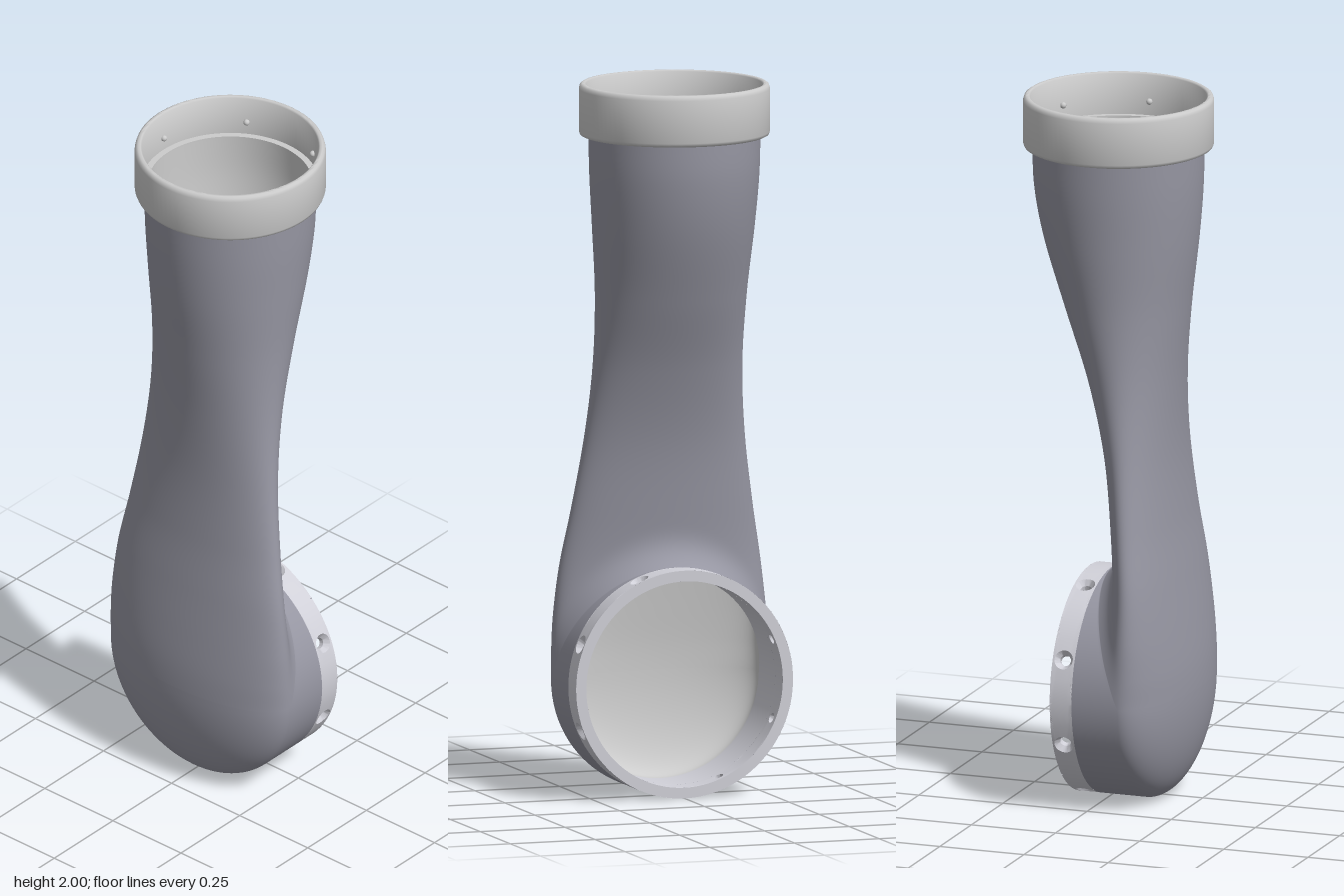
import * as THREE from 'three';
import { mergeGeometries, mergeVertices, toCreasedNormals } from 'three/addons/utils/BufferGeometryUtils.js';

const CX = -0.115, CY = 0.32, R = 0.32;      // centre and radius of the round cup
const SEAM = 0.02, MOUTH = 0.085, TOP = 1.875;
const N = 96;

// Arm sections: y, left x, right x, half depth
const SECTIONS = [
  [0.24, -0.242, 0.0, 0.318], [0.32, -0.245, 0.015, 0.32], [0.4, -0.242, 0.0, 0.318],
  [0.5, -0.231, -0.02, 0.312], [0.64, -0.212, -0.034, 0.295], [0.8, -0.191, -0.022, 0.266],
  [1.0, -0.177, 0.008, 0.235], [1.2, -0.181, 0.065, 0.217], [1.4, -0.2, 0.14, 0.216],
  [1.6, -0.225, 0.207, 0.228], [1.75, -0.237, 0.236, 0.237], [1.9, -0.24, 0.24, 0.24],
];

// Smooth interpolation of one table column
function sample(y, k) {
  const S = SECTIONS, last = S.length - 1;
  let i = 0;
  while (i < last - 1 && y > S[i + 1][0]) i++;
  const slope = (j) => {
    const a = S[Math.max(j - 1, 0)], b = S[Math.min(j + 1, last)];
    return (b[k] - a[k]) / (b[0] - a[0]);
  };
  const h = S[i + 1][0] - S[i][0], t = (y - S[i][0]) / h, t2 = t * t, t3 = t2 * t;
  return S[i][k] * (2 * t3 - 3 * t2 + 1) + slope(i) * h * (t3 - 2 * t2 + t)
    + S[i + 1][k] * (3 * t2 - 2 * t3) + slope(i + 1) * h * (t3 - t2);
}

// Surface from a rule f(u, v) -> [x, y, z]
function grid(nu, nv, f) {
  const pos = [], idx = [];
  for (let j = 0; j <= nv; j++) for (let i = 0; i <= nu; i++) pos.push(...f(i / nu, j / nv));
  for (let j = 0; j < nv; j++) for (let i = 0; i < nu; i++) {
    const a = j * (nu + 1) + i, b = a + 1, c = a + nu + 1, d = c + 1;
    idx.push(a, c, b, b, c, d);
  }
  const g = new THREE.BufferGeometry();
  g.setAttribute('position', new THREE.Float32BufferAttribute(pos, 3));
  g.setIndex(idx);
  return g;
}

function smooth(...parts) {
  const g = mergeVertices(mergeGeometries(parts), 1e-4);
  g.computeVertexNormals();
  return g;
}

// Arm, half dome and cup wall; wall > 0 gives the inner skin
function skin(wall) {
  const r = R - wall;
  const th = (y) => (wall ? wall - (wall - 0.012) * THREE.MathUtils.smoothstep(y, CY, 1.4) : 0);
  const depth = (y) => sample(y, 3) - th(y);
  // height where the arm meets the dome (left) or the cup (right)
  const startY = (t) => {
    if (Math.cos(t) < 1e-6) return CY;
    let y = CY + r * Math.cos(t);
    for (let i = 0; i < 40; i++) y = CY + Math.sqrt(Math.max(0, r * r - (depth(y) * Math.sin(t)) ** 2));
    return y;
  };
  const armPoint = (t, y, y0) => {
    const L = sample(y, 1) + th(y), Rt = sample(y, 2) - th(y), c = Math.cos(t);
    const flare = wall ? 0 : 0.05 * Math.max(0, c) * Math.max(0, 1 - (y - y0) / 0.12) ** 3;
    return [(L + Rt) / 2 + (Rt - L) / 2 * c + flare, y, depth(y) * Math.sin(t)];
  };
  const arm = grid(N, 90, (u, v) => {
    const t = u * Math.PI * 2, y0 = startY(t);
    return armPoint(t, y0 + (TOP - y0) * v ** 1.5, y0);
  });
  const dome = grid(N / 2, 24, (u, v) => {
    const t = Math.PI * (0.5 + u), e = Math.PI / 2 * (1 - v);
    return [CX + (0.13 - wall) * Math.cos(t) * Math.cos(e), CY + r * Math.cos(t) * Math.sin(e), r * Math.sin(t)];
  });
  const cup = grid(N, 10, (u, v) => {
    const t = u * Math.PI * 2, y0 = startY(t);
    const p = Math.cos(t) >= 1e-6 ? armPoint(t, y0, y0) : [CX, CY + r * Math.cos(t), r * Math.sin(t)];
    return [SEAM + (p[0] - SEAM) * v, p[1], p[2]];
  });
  return { arm, dome, cup };
}

// One eighth of the mouth ring with a countersunk through hole
function ringTile(k) {
  const hu = Math.PI / 8, hv = (MOUTH - SEAM) / 2, mid = (MOUTH + SEAM) / 2;
  const rIn = 0.29, W = hu * R, P = 4 * (W + hv);
  const edge = (q) => {                       // walk round the tile border
    let d = q * P;
    if (d < 2 * W) return [-W + d, -hv];
    d -= 2 * W;
    if (d < 2 * hv) return [W, -hv + d];
    d -= 2 * hv;
    if (d < 2 * W) return [W - d, hv];
    return [-W, hv - (d - 2 * W)];
  };
  // rows: blend towards border, hole radius, distance from axis
  const rows = [[1, 0.027, R], [0.66, 0.027, R], [0.33, 0.027, R], [0, 0.027, R], [0, 0.016, 0.304],
    [0, 0.016, rIn], [0.33, 0.016, rIn], [0.66, 0.016, rIn], [1, 0.016, rIn]];
  return grid(64, rows.length - 1, (u, v) => {
    const [s, hole, rad] = rows[Math.round(v * (rows.length - 1))];
    const [eu, ev] = edge(u % 1), a = Math.atan2(ev / hv, eu / W);
    const pu = hole * Math.cos(a) * (1 - s) + eu * s, pv = hole * Math.sin(a) * (1 - s) + ev * s;
    const ang = (k + 0.5) * Math.PI / 4 + pu / R;
    return [mid + pv, CY + rad * Math.sin(ang), rad * Math.cos(ang)];
  });
}

export function createModel() {
  const model = new THREE.Group();
  const mat = (color) => new THREE.MeshStandardMaterial({ color, side: THREE.DoubleSide });
  const body = mat(0x9696a2), grey = mat(0xcccccc), pale = mat(0xd0d0d8);
  const add = (name, geo, m) => {
    const mesh = new THREE.Mesh(geo, m);
    mesh.name = name;
    model.add(mesh);
    return mesh;
  };

  // Curved arm running into the sideways cup
  const outer = skin(0), inner = skin(0.03);
  add('armShell', smooth(outer.arm, outer.dome, outer.cup), body);
  add('armLining', smooth(inner.arm, inner.dome), grey);
  add('cupSleeve', smooth(inner.cup), pale);

  // Mouth ring with eight holes and its end face
  const tiles = Array.from({ length: 8 }, (_, k) => ringTile(k));
  add('mouthRing', toCreasedNormals(mergeGeometries(tiles), 0.5), pale);
  const face = add('mouthRingFace', new THREE.RingGeometry(0.29, R, N), pale);
  face.rotation.y = Math.PI / 2;
  face.position.set(MOUTH, CY, 0);

  // Top collar with softened edges and an inner ledge
  const profile = [[0.228, 1.855], [0.257, 1.855], [0.263, 1.858], [0.266, 1.866], [0.266, 1.986],
    [0.263, 1.996], [0.257, 2], [0.25, 2], [0.246, 1.996], [0.246, 1.88], [0.228, 1.88], [0.228, 1.855]]
    .map(([x, y]) => new THREE.Vector2(x, y));
  add('collar', toCreasedNormals(new THREE.LatheGeometry(profile, N), 0.8), grey);

  // Six small locating pins inside the collar
  for (let i = 0; i < 6; i++) {
    const a = Math.PI / 6 + i * Math.PI / 3;
    const pin = add('collarPin', new THREE.SphereGeometry(0.009, 12, 8), grey);
    pin.position.set(0.243 * Math.cos(a), 1.92, 0.243 * Math.sin(a));
  }
  return model;
}
